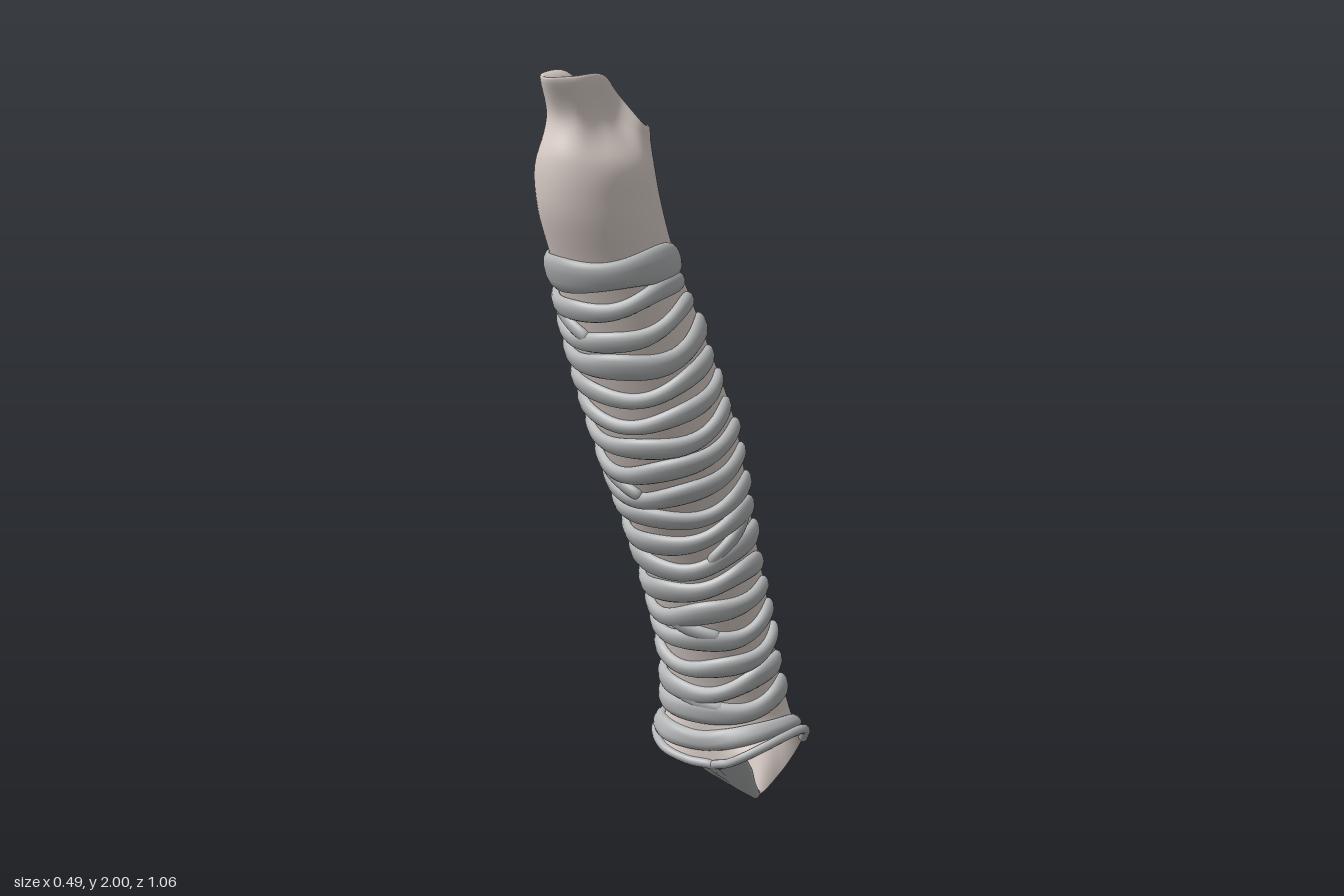
import * as THREE from 'three';

const V = (x, y, z) => new THREE.Vector3(x, y, z);

// Main tube sections: y, z, x, half width, half depth, tilt
const SECTIONS = [
  [0.235, -0.388, -0.03, 0.172, 0.125, 0.16],
  [0.33, -0.355, -0.02, 0.154, 0.115, 0.38],
  [0.50, -0.285, 0, 0.15, 0.118, 0.43],
  [0.75, -0.165, 0.015, 0.16, 0.13, 0.43],
  [1.00, -0.018, 0.042, 0.179, 0.153, 0.43],
  [1.25, 0.118, 0.042, 0.17, 0.155, 0.38],
  [1.50, 0.238, 0.04, 0.15, 0.16, 0.14],
  [1.65, 0.30, 0.038, 0.145, 0.177, 0],
  [1.76, 0.32, 0.04, 0.132, 0.18, -0.1],
];

// Half rims from front to back: x, y, z
const BOTTOM = [[0, 0.11, -0.285], [0.1, 0.14, -0.275], [0.165, 0.185, -0.35], [0.172, 0.2, -0.44],
  [0.125, 0.165, -0.51], [0.05, 0.07, -0.522], [0, 0.008, -0.48]];
const NECK = [[0, 1.89, 0.482], [0.05, 1.89, 0.455], [0.062, 1.88, 0.36], [0.068, 1.86, 0.3],
  [0.105, 1.825, 0.245], [0.075, 1.795, 0.165], [0, 1.785, 0.142]];
const TOP = [[0, 2, 0.53], [0.052, 2, 0.475], [0.06, 1.992, 0.36], [0.055, 1.93, 0.28],
  [0.098, 1.853, 0.232], [0.06, 1.835, 0.155], [0, 1.83, 0.138]];
const TOP_INNER = [[0, 1.985, 0.495], [0.026, 1.985, 0.455], [0.036, 1.97, 0.352], [0.036, 1.915, 0.282],
  [0.068, 1.843, 0.232], [0.042, 1.825, 0.172], [0, 1.82, 0.158]];
const NECK_INNER = [[0, 1.87, 0.37], [0.02, 1.87, 0.36], [0.032, 1.86, 0.325], [0.045, 1.83, 0.28],
  [0.066, 1.79, 0.235], [0.045, 1.76, 0.178], [0, 1.755, 0.16]];

// Closed rim curve; control points sit every 30 degrees
function rim(half, cx, rightScale) {
  const left = half.map(([x, y, z]) => V(cx + x, y, z));
  const right = half.slice(1, -1).reverse().map(([x, y, z]) => V(cx - x * rightScale, y, z));
  const curve = new THREE.CatmullRomCurve3([...left, ...right], true);
  return (a) => curve.getPoint((((a / (2 * Math.PI)) % 1) + 1) % 1);
}

// Oval section with a flattened back
function section([y, z, cx, w, d, tilt], scale) {
  return (a) => {
    const s = Math.sin(a), c = Math.cos(a);
    const wide = c < 0 ? Math.sign(s) * Math.pow(Math.abs(s), 0.75) : s;
    const depth = d * c * scale;
    return V(cx + w * wide * scale, y - Math.sin(tilt) * depth, z + Math.cos(tilt) * depth);
  };
}

const bottomRim = rim(BOTTOM, 0, 1.35);
const KEYS = [
  bottomRim,
  ...SECTIONS.map((s) => section(s, 1)),
  ...[NECK, TOP, TOP_INNER, NECK_INNER].map((half) => rim(half, 0.036, 1)),
  ...SECTIONS.slice(0, -1).map((s) => section(s, 0.9)).reverse(),
  bottomRim,
];
const column = (a) => new THREE.CatmullRomCurve3(KEYS.map((k) => k(a)));
const wall = (col, key) => col.getPoint(key / (KEYS.length - 1));

// Height on the axis to fractional key index
function keyAt(y) {
  let i = 0;
  while (i < SECTIONS.length - 2 && y > SECTIONS[i + 1][0]) i++;
  return 1 + i + (y - SECTIONS[i][0]) / (SECTIONS[i + 1][0] - SECTIONS[i][0]);
}

// Skin over rows of points, each row closed on itself
function loft(rows) {
  const n = rows[0].length, index = [];
  for (let r = 0; r < rows.length - 1; r++) {
    for (let c = 0; c < n; c++) {
      const a = r * n + c, b = r * n + ((c + 1) % n);
      index.push(a, b, b + n, a, b + n, a + n);
    }
  }
  const geo = new THREE.BufferGeometry().setFromPoints(rows.flat());
  geo.setIndex(index);
  geo.computeVertexNormals();
  return geo;
}

// C-shaped band lying on the wall from angle a0 to a1, thin on its hidden side
function band(a0, a1, height, half, thick) {
  const rows = [], steps = 60, sides = 14;
  for (let j = 0; j <= steps; j++) {
    const t = j / steps, a = a0 + (a1 - a0) * t;
    const col = column(a), key = keyAt(height(a));
    const p = wall(col, key);
    const up = wall(col, key + 0.03).sub(p).normalize();
    const along = wall(column(a + 0.03), key).sub(p);
    const out = along.cross(up).normalize();
    const taper = Math.sqrt(Math.max(0, 1 - Math.pow(Math.abs(2 * t - 1), 12))) + 0.001;
    const h = half(a) * taper;
    rows.push(Array.from({ length: sides }, (_, k) => {
      const f = (k / sides) * Math.PI * 2;
      const c = Math.cos(f), s = Math.sin(f);
      return p.clone()
        .addScaledVector(up, h * Math.sign(c) * Math.pow(Math.abs(c), 0.8))
        .addScaledVector(out, 0.003 + (s > 0 ? thick * taper : 0.006) * s);
    }));
  }
  return loft(rows);
}

export function createModel() {
  const model = new THREE.Group();
  model.name = 'windpipe';
  const tissue = new THREE.MeshStandardMaterial({ color: 0xe0d4ce });
  const cartilage = new THREE.MeshStandardMaterial({ color: 0xb4b6b7 });
  const add = (name, geo, mat, parent = model) => {
    const mesh = new THREE.Mesh(geo, mat);
    mesh.name = name;
    parent.add(mesh);
  };
  let seed = 11;
  const rnd = () => (seed = (seed * 16807) % 2147483647) / 2147483647;

  // Hollow tube: up the outside, over the spout and down the inside
  const N = 72, M = 170;
  const cols = Array.from({ length: N }, (_, c) => column((c / N) * Math.PI * 2));
  const rows = Array.from({ length: M + 1 }, (_, r) => cols.map((col) => col.getPoint(r / M)));
  add('tubeWall', loft(rows), tissue);

  // Irregular cartilage rings, open at the back; a few are wider and longer
  const rings = new THREE.Group();
  rings.name = 'cartilageRings';
  model.add(rings);
  const COUNT = 18;
  for (let i = 0; i < COUNT; i++) {
    const y = 1.49 - i * 0.07;
    const p1 = rnd() * 6.28, p2 = rnd() * 6.28;
    const top = i === 0, long = top || i === 3;
    const wob = top ? 0.003 : 0.009, sag = top ? 0 : 0.013;
    const size = top ? 0.048 : (i === 3 ? 0.033 : 0.024) + rnd() * 0.006;
    const reach = long ? 2.25 : 1.97;
    const height = (a) => y - sag * Math.cos(a) + wob * Math.sin(a * 1.7 + p1) + wob * 0.5 * Math.sin(a * 4 + p2);
    const half = (a) => size * (1 + 0.15 * Math.sin(a * 3 + p2));
    add('ring' + (i + 1), band(-reach - rnd() * 0.2, reach + rnd() * 0.2, height, half, 0.021), cartilage, rings);

    // Slanted bridges joining some neighbouring rings
    if (i % 3 === 1 && i < COUNT - 1) {
      const mid = (rnd() - 0.5) * 2.6, dir = rnd() < 0.5 ? -1 : 1;
      const slant = (a) => y - 0.035 - sag * Math.cos(a) + dir * (a - mid) * 0.07;
      add('ringBridge', band(mid - 0.5, mid + 0.5, slant, () => 0.022, 0.018), cartilage, rings);
    }
  }

  // Lips of the two side openings, running from the keel round the front
  const keel = [V(0, 0.012, -0.48), V(0, 0.04, -0.42), V(0, 0.075, -0.35)];
  for (const [name, side] of [['leftOpeningLip', 1], ['rightOpeningLip', -1]]) {
    const pts = Array.from({ length: 9 }, (_, i) => bottomRim((side * i * Math.PI) / 12));
    const path = new THREE.CatmullRomCurve3([...keel, ...pts]);
    add(name, new THREE.TubeGeometry(path, 80, 0.012, 10), cartilage);
  }

  // Lowest collar, flaring over the fork
  add('forkCollar', band(-2, 2, () => 0.198, () => 0.028, 0.018), cartilage);

  // Wedge of the fork, narrowing towards the back
  const wedge = [[0.01, -0.475, 0.014], [0.04, -0.41, 0.045], [0.075, -0.345, 0.08], [0.11, -0.285, 0.1]];
  const wedgeRows = wedge.map(([y, z, w]) => Array.from({ length: 14 }, (_, k) => {
    const f = (k / 14) * Math.PI * 2;
    return V(w * Math.cos(f), y + 0.01 * Math.sin(f) + w * 0.3 * Math.cos(f) ** 2, z);
  }));
  add('forkKeel', loft(wedgeRows), cartilage);

  return model;
}
